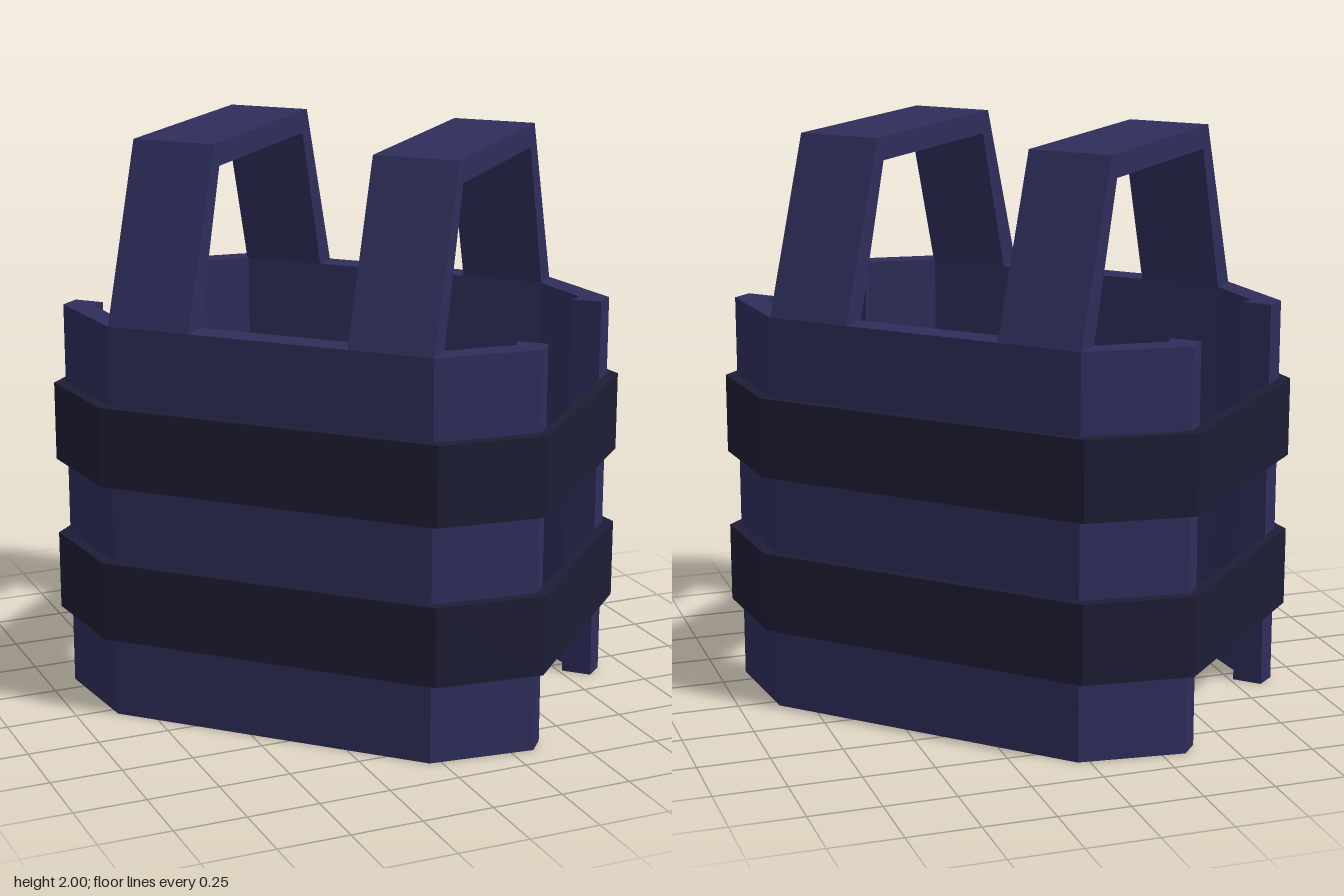
import * as THREE from 'three';

const material = (color) => new THREE.MeshStandardMaterial({ color, flatShading: true });
const shapeOf = (pts) => new THREE.Shape(pts.map(([x, y]) => new THREE.Vector2(x, y)));
const mirrored = (half) => [...half, ...half.map(([x, y]) => [-x, y]).reverse()];

// Octagon with two corners per quadrant, given as the panel and side corners
const octagon = ([px, py], [sx, sy]) =>
  mirrored([[px, -py], [sx, -sy], [sx, sy], [px, py]]);

// Extrude a plan outline upwards from y = 0
function extrudeUp(shape, height) {
  return new THREE.ExtrudeGeometry(shape, { depth: height, bevelEnabled: false }).rotateX(-Math.PI / 2);
}

export function createModel() {
  const model = new THREE.Group();
  model.name = 'vest';
  const body = new THREE.Group();
  body.name = 'vestBody';
  body.rotation.y = -Math.PI / 4;
  model.add(body);

  const cloth = material(0x2e2e5c);
  const webbing = material(0x1d1d35);

  function add(name, geometry, mat) {
    const mesh = new THREE.Mesh(geometry, mat);
    mesh.name = name;
    body.add(mesh);
    return mesh;
  }

  // Front and back panels with angled wings ending in a small lip
  const panel = extrudeUp(shapeOf(mirrored([
    [0.58, 0.636], [0.87, 0.403], [0.864, 0.321], [0.757, 0.322], [0.771, 0.371], [0.575, 0.537],
  ])), 1.4);
  add('backPanel', panel, cloth);
  add('frontPanel', panel, cloth).rotation.y = Math.PI;

  // Two belts wrapped around the panels and across the open sides
  const ring = shapeOf(octagon([0.608, 0.665], [0.905, 0.424]));
  ring.holes.push(shapeOf(octagon([0.58, 0.636], [0.868, 0.403])));
  const belt = extrudeUp(ring, 0.28);
  add('lowerBelt', belt, webbing).position.y = 0.285;
  add('upperBelt', belt, webbing).position.y = 0.84;

  // Shoulder straps: sloping legs with a flat top
  const arch = shapeOf(mirrored([[0.368, 1.92], [0.537, 1.4], [0.636, 1.4], [0.41, 2]]));
  const strap = new THREE.ExtrudeGeometry(arch, { depth: 0.297, bevelEnabled: false })
    .translate(0, 0, -0.1485)
    .rotateY(Math.PI / 2);
  for (const [name, x] of [['leftStrap', 0.4315], ['rightStrap', -0.4315]]) {
    add(name, strap, cloth).position.x = x;
  }

  return model;
}
